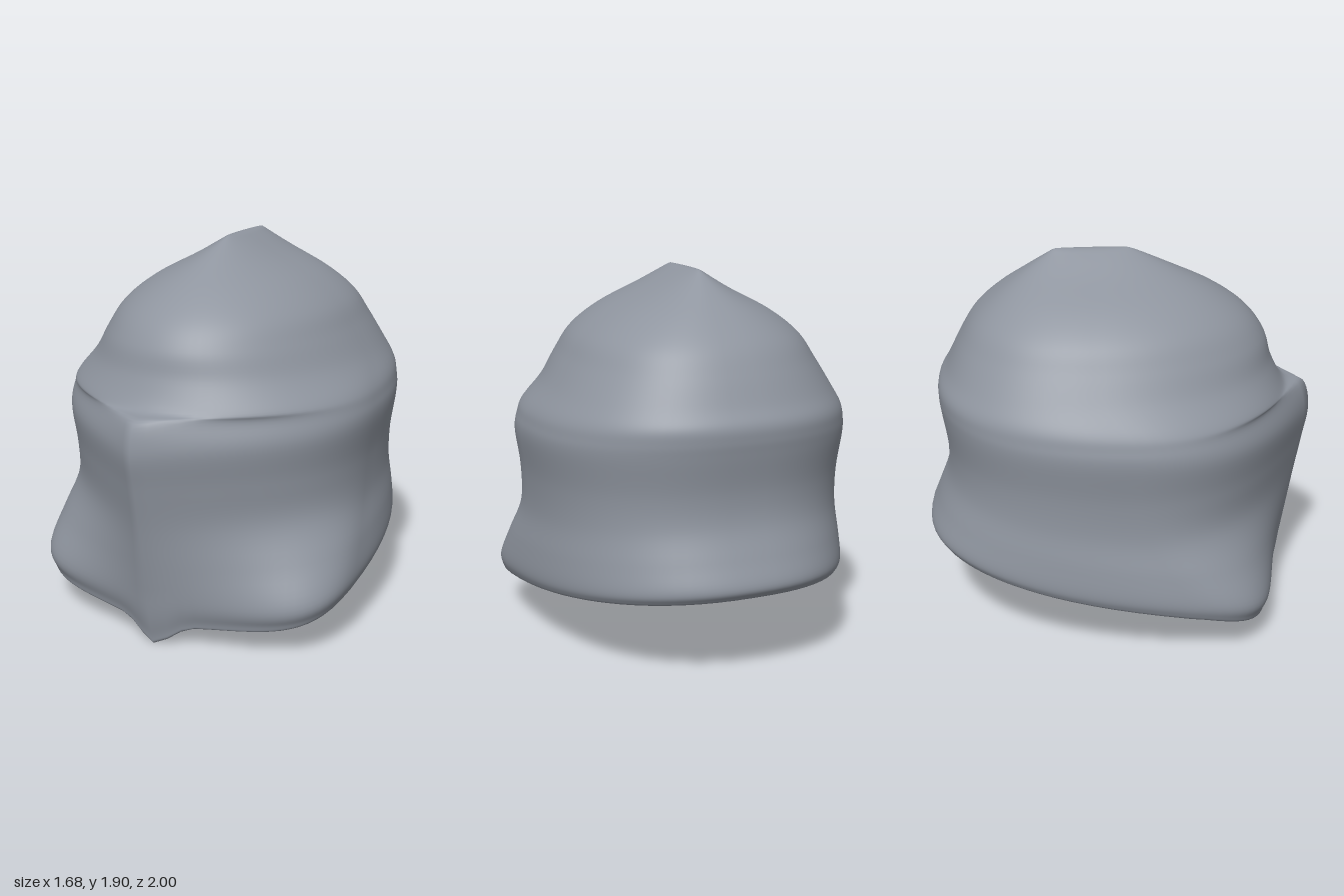
import * as THREE from 'three';
import { mergeVertices } from 'three/addons/utils/BufferGeometryUtils.js';

// Front curve of a section: ctrl1 x, ctrl1 z, ctrl2 z (fractions)
const CHEEK = [0.6, 0.72, 0.9], FLARE = [0.55, 0.74, 0.66], VISOR = [0.5, 0.755, 0.53];
const BROW = [0.52, 0.97, 0.57], DOME = [0.55, 1, 0.55];

// Neck opening, rim, cheeks and visor:
// half width, z of widest point, y at side, z front, y front, z back, y back, front curve
const LOWER = [
  [0.62, 0.50, 0.185, 0.79, 0.08, 0.03, 0.29, CHEEK],
  [0.70, 0.32, 0.23, 0.81, 0.075, -0.78, 0.405, CHEEK],
  [0.80, 0.30, 0.24, 0.83, 0.08, -0.945, 0.43, CHEEK],
  [0.83, 0.30, 0.275, 0.838, 0.11, -0.985, 0.455, CHEEK],
  [0.84, 0.30, 0.34, 0.865, 0.21, -1.00, 0.505, CHEEK],
  [0.82, 0.20, 0.48, 0.90, 0.42, -0.955, 0.62, FLARE],
  [0.785, 0.08, 0.66, 0.935, 0.64, -0.90, 0.77, VISOR],
  [0.785, 0.05, 0.86, 0.97, 0.84, -0.89, 0.92, VISOR],
  [0.81, 0.05, 1.06, 0.997, 1.02, -0.915, 1.10, VISOR],
  [0.80, 0.03, 1.15, 0.96, 1.165, -0.925, 1.18, VISOR],
  [0.775, 0.00, 1.22, 0.85, 1.20, -0.92, 1.25, BROW],
];
// Level sections of the dome: half width, y, z front, z back
const UPPER = [
  [0.70, 1.33, 0.775, -0.875], [0.62, 1.46, 0.735, -0.81],
  [0.54, 1.58, 0.645, -0.735], [0.40, 1.69, 0.49, -0.62],
  [0.20, 1.795, 0.28, -0.48], [0.075, 1.868, 0.12, -0.37],
  [0.03, 1.892, 0.06, -0.33], [0, 1.898, 0.04, -0.31],
];
const SECTIONS = [
  ...LOWER.map((row) => row.flat()),
  ...UPPER.map(([w, y, zf, zb]) => [w, -0.1, y, zf, y, zb, y, ...DOME]),
];
const QUARTER = 20, STEPS = 6;
const BACK_POWER = 2 / 2.4; // a little fuller than an ellipse

// Smooth in-between section
function sectionAt(v) {
  const last = SECTIONS.length - 1;
  const i = Math.min(Math.floor(v), last - 1), t = v - i;
  const row = (k) => SECTIONS[Math.max(0, Math.min(last, k))];
  return row(i).map((b, k) => {
    const c = row(i + 1)[k];
    const m0 = (c - row(i - 1)[k]) / 2, m1 = (row(i + 2)[k] - b) / 2;
    const t2 = t * t, t3 = t2 * t;
    return b * (2 * t3 - 3 * t2 + 1) + m0 * (t3 - 2 * t2 + t) + c * (3 * t2 - 2 * t3) + m1 * (t3 - t2);
  });
}

// Half outline: front ridge, round the side, to the middle of the back
function halfOutline([w, zc, ys, zf, yf, zb, yb, ax, az, bz]) {
  const front = new THREE.CubicBezierCurve(
    new THREE.Vector2(0, zf), new THREE.Vector2(w * ax, zc + (zf - zc) * az),
    new THREE.Vector2(w, zc + (zf - zc) * bz), new THREE.Vector2(w, zc));
  const drop = Math.max(0, 0.11 * (1 - yf / 0.27)); // pointed tip below the ridge
  const pts = [];
  for (let i = 0; i <= QUARTER; i++) {
    const p = front.getPoint(i / QUARTER);
    const f = Math.max(0, (p.y - zc) / (zf - zc));
    const tip = drop * (0.5 + 0.5 * Math.cos(Math.PI * Math.min(1, p.x / 0.2)));
    pts.push([p.x, ys + (yf - ys) * f ** 1.4 - tip, p.y]);
  }
  for (let i = 1; i <= QUARTER; i++) {
    const a = (i / QUARTER) * Math.PI / 2;
    const s = Math.sin(a) ** BACK_POWER;
    const c = i === QUARTER ? 0 : Math.cos(a) ** BACK_POWER;
    pts.push([w * c, ys + (yb - ys) * s, zc + (zb - zc) * s]);
  }
  return pts;
}

function loftShell() {
  const position = [], index = [];
  const rows = (SECTIONS.length - 1) * STEPS, ring = 4 * QUARTER + 1;
  for (let r = 0; r <= rows; r++) {
    const half = halfOutline(sectionAt(r / STEPS));
    const mirrored = half.slice(0, -1).reverse().map(([x, y, z]) => [-x, y, z]);
    for (const p of [...half, ...mirrored]) position.push(...p);
  }
  for (let r = 0; r < rows; r++) {
    for (let i = 0; i < ring - 1; i++) {
      const a = r * ring + i, b = a + 1, c = a + ring, d = c + 1;
      index.push(a, b, d, a, d, c);
    }
  }
  const geometry = new THREE.BufferGeometry();
  geometry.setAttribute('position', new THREE.Float32BufferAttribute(position, 3));
  geometry.setIndex(index);
  const welded = mergeVertices(geometry, 1e-5); // joins the front seam and the crest
  welded.computeVertexNormals();
  return welded;
}

export function createModel() {
  const group = new THREE.Group();
  group.name = 'helmet';
  const steel = new THREE.MeshStandardMaterial({ color: 0x8f959f, side: THREE.DoubleSide });
  steel.name = 'steel grey';
  const shell = new THREE.Mesh(loftShell(), steel);
  shell.name = 'helmetShell';
  group.add(shell);
  return group;
}
